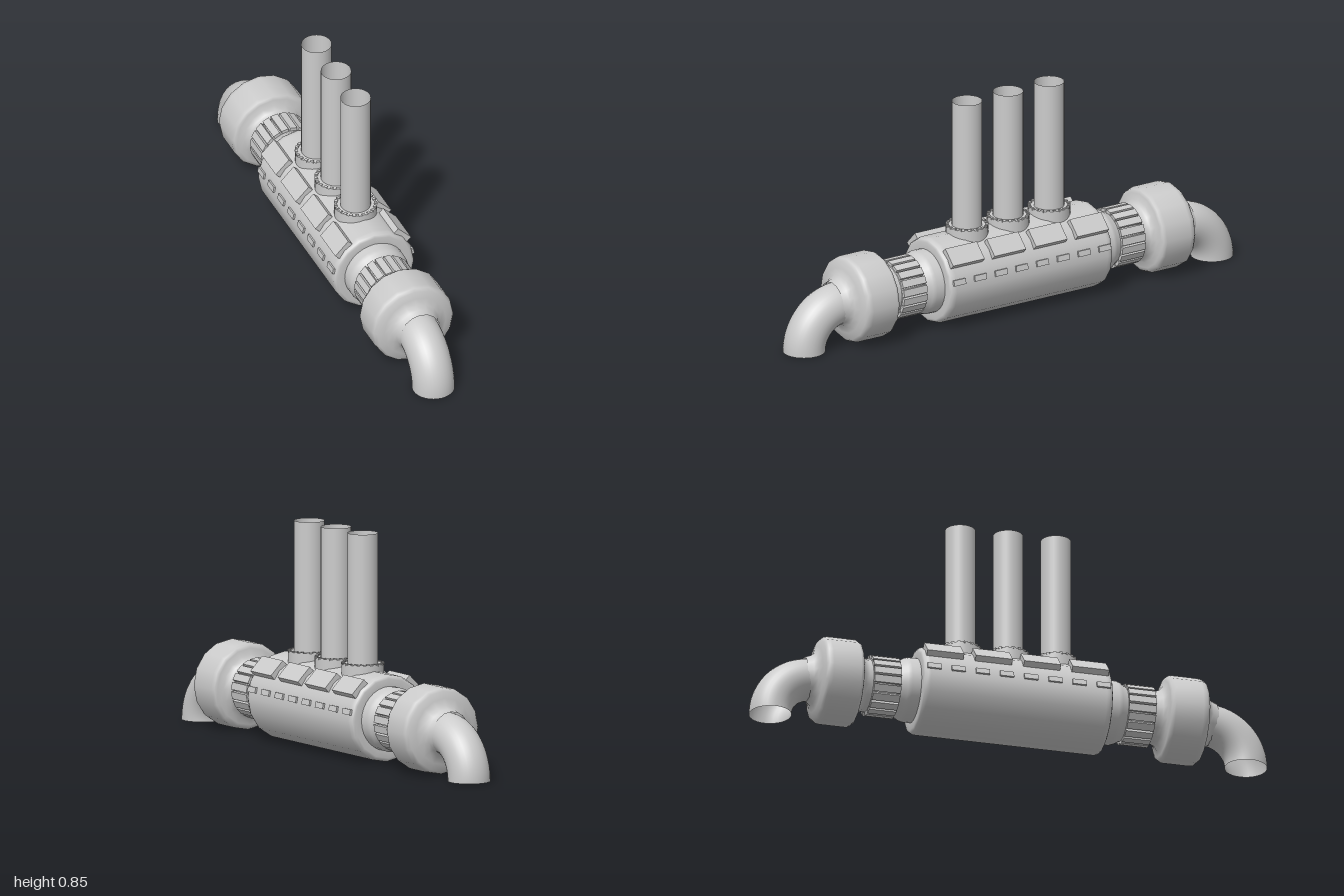
import * as THREE from 'three';

const AXIS_Y = 0.165;
const material = new THREE.MeshStandardMaterial({ color: 0xcccccc, side: THREE.DoubleSide });

function add(parent, name, geometry, x = 0, y = 0, z = 0) {
  const mesh = new THREE.Mesh(geometry, material);
  mesh.name = name;
  mesh.position.set(x, y, z);
  parent.add(mesh);
  return mesh;
}

// Turned part along z; each profile point is [radius, z]
function turned(profile, sides) {
  const points = profile.map(([r, z]) => new THREE.Vector2(r, z));
  return new THREE.LatheGeometry(points, sides).rotateX(Math.PI / 2);
}

// Boxes set around a ring in the xy plane, facing outwards
function radialBox(parent, name, size, radius, angle, z) {
  const box = add(parent, name, new THREE.BoxGeometry(...size),
    radius * Math.cos(angle), radius * Math.sin(angle), z);
  box.rotation.z = angle;
  return box;
}

// One end of the line: collar, ribbed nut, bulb and downturned elbow
function createEnd() {
  const end = new THREE.Group();
  end.name = 'endAssembly';
  add(end, 'collar', turned([
    [0.122, 0.34], [0.122, 0.40], [0.117, 0.415], [0.105, 0.435], [0.1, 0.45],
  ], 32));
  add(end, 'nutCore', turned([[0, 0.44], [0.104, 0.44], [0.104, 0.545], [0, 0.545]], 20));
  const ribs = 20;
  for (let i = 0; i < ribs; i++) {
    radialBox(end, 'nutRib', [0.02, 0.028, 0.105], 0.105, (i + 0.5) * 2 * Math.PI / ribs, 0.4925);
  }
  add(end, 'bulb', turned([
    [0.1, 0.54], [0.1, 0.56], [0.106, 0.575], [0.122, 0.587], [0.145, 0.592], [0.158, 0.596],
    [0.165, 0.608], [0.165, 0.715], [0.162, 0.731], [0.152, 0.742], [0.125, 0.748],
    [0.1, 0.757], [0.088, 0.772], [0.08, 0.795],
  ], 16));

  // Elbow: short straight run, then a quarter bend to the ground
  const path = new THREE.CurvePath();
  path.add(new THREE.LineCurve3(new THREE.Vector3(0, 0.16, 0.72), new THREE.Vector3(0, 0.16, 0.76)));
  const k = 0.16 * 0.5523;
  path.add(new THREE.CubicBezierCurve3(
    new THREE.Vector3(0, 0.16, 0.76), new THREE.Vector3(0, 0.16, 0.76 + k),
    new THREE.Vector3(0, k, 0.92), new THREE.Vector3(0, 0, 0.92)));
  add(end, 'elbow', new THREE.TubeGeometry(path, 28, 0.08, 32), 0, -AXIS_Y, 0);
  return end;
}

// Vertical open pipe in a bolted flange
function createStack(z) {
  const stack = new THREE.Group();
  stack.name = 'stack';
  stack.position.z = z;
  add(stack, 'flange', new THREE.CylinderGeometry(0.08, 0.08, 0.07, 32), 0, 0.317, 0);
  add(stack, 'pipe', new THREE.CylinderGeometry(0.057, 0.057, 0.52, 32, 1, true), 0, 0.585, 0);
  const bolts = 20;
  for (let i = 0; i < bolts; i++) {
    const a = i * 2 * Math.PI / bolts;
    const bolt = add(stack, 'flangeBolt', new THREE.BoxGeometry(0.012, 0.008, 0.012),
      0.075 * Math.cos(a), 0.352, 0.075 * Math.sin(a));
    bolt.rotation.y = -a;
  }
  return stack;
}

export function createModel() {
  const model = new THREE.Group();
  model.name = 'pipeManifold';
  const line = new THREE.Group();
  line.name = 'horizontalLine';
  line.position.y = AXIS_Y;
  model.add(line);

  // Main drum with softened rims
  add(line, 'drum', turned([
    [0, -0.366], [0.13, -0.366], [0.15, -0.366], [0.16, -0.362], [0.165, -0.35], [0.165, -0.34],
    [0.165, 0.34], [0.165, 0.35], [0.16, 0.362], [0.15, 0.366], [0.13, 0.366], [0, 0.366],
  ], 16));

  // Large shoulder panels and small studs on both sides
  for (const side of [1, -1]) {
    const angleFor = (a) => (side > 0 ? a : Math.PI - a);
    for (let i = 0; i < 4; i++) {
      radialBox(line, 'shoulderPanel', [0.036, 0.075, 0.142], 0.163, angleFor(Math.PI / 4), (i - 1.5) * 0.187);
    }
    for (let i = 0; i < 8; i++) {
      radialBox(line, 'sideStud', [0.02, 0.022, 0.053], 0.159, angleFor(0.21), (i - 3.5) * 0.0935);
    }
  }

  // Matching ends, front and back
  const front = createEnd();
  const back = createEnd();
  back.rotation.y = Math.PI;
  line.add(front, back);

  for (const z of [-0.185, 0, 0.185]) model.add(createStack(z));
  return model;
}
